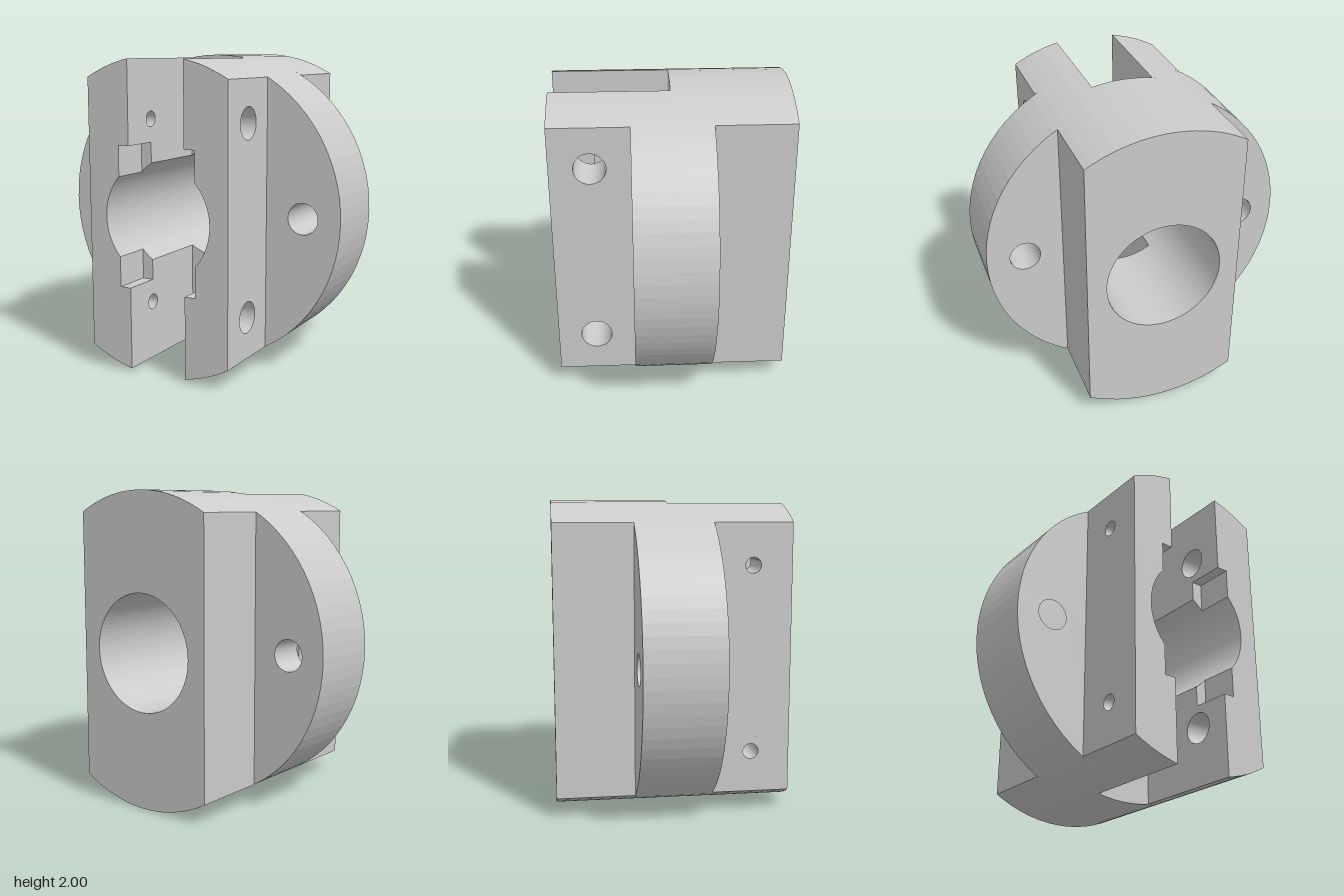
import * as THREE from 'three';

const STEP = Math.PI / 40; // facet angle shared by every arc
const R = 1, BORE = 0.375, HALF = 0.5, SLOT = 0.2, POCKET = 0.275, POCKET_Y = 0.45;

// Points on a circle from angle a to b, keeping the common facet grid between the ends
function arc(r, a, b, cx = 0, cy = 0) {
  const angles = [a];
  if (b > a) for (let i = Math.floor(a / STEP + 1e-6) + 1; i * STEP < b - 1e-6; i++) angles.push(i * STEP);
  else for (let i = Math.ceil(a / STEP - 1e-6) - 1; i * STEP > b + 1e-6; i--) angles.push(i * STEP);
  angles.push(b);
  return angles.map(t => [cx + r * Math.cos(t), cy + r * Math.sin(t)]);
}

const circle = (r, cx = 0, cy = 0) => arc(r, 0, Math.PI * 2, cx, cy).slice(0, -1);
const vectors = (pts, side = 1) => pts.map(([x, y]) => new THREE.Vector2(x * side, y));

function extrude(outline, holes, from, to, side = 1) {
  const shape = new THREE.Shape(vectors(outline, side));
  for (const h of holes) shape.holes.push(new THREE.Path(vectors(h, side)));
  return new THREE.ExtrudeGeometry(shape, { depth: to - from, bevelEnabled: false }).translate(0, 0, from);
}

export function createModel() {
  const group = new THREE.Group();
  group.name = 'clampingFlange';
  const material = new THREE.MeshStandardMaterial({ color: 0xcccccc });
  const body = new THREE.Group();
  body.name = 'body';
  body.position.y = 1;
  group.add(body);

  const add = (name, geometry) => {
    const mesh = new THREE.Mesh(geometry, material);
    mesh.name = name;
    body.add(mesh);
  };

  const hubAngle = Math.acos(HALF / R);
  const slotAngle = Math.acos(SLOT / R);
  const flat = R * Math.sin(hubAngle); // height where the side flats meet the round

  // Rear hub: round block with two side flats and the bore
  const hub = [
    ...arc(R, hubAngle, Math.PI - hubAngle),
    ...arc(R, Math.PI + hubAngle, 2 * Math.PI - hubAngle),
  ];
  add('rearHub', extrude(hub, [circle(BORE)], -0.75, -0.25));

  // Rear half of the round flange with bore and two mounting holes
  add('flangeRear', extrude(circle(R),
    [circle(BORE), circle(0.1, 0.75), circle(0.1, -0.75)], -0.25, 0));

  // Inner edge of a jaw, running upward and following the bore
  const boreEdge = x => {
    const a = Math.acos(x / BORE);
    return arc(BORE, -a, a);
  };

  for (const side of [1, -1]) {
    const label = side > 0 ? 'left' : 'right';

    // Front half of the flange, split by the slot
    add(label + 'FlangeFront', extrude(
      [...arc(R, -slotAngle, slotAngle), ...boreEdge(SLOT).reverse()],
      [circle(0.1, 0.75)], 0, 0.25, side));

    // Middle of the jaw: plain behind, relieved by a pocket in front
    const middle = x => [[HALF, -POCKET_Y], [HALF, POCKET_Y], [x, POCKET_Y],
      ...boreEdge(x).reverse(), [x, -POCKET_Y]];
    add(label + 'JawMiddle', extrude(middle(SLOT), [], 0.25, 0.5, side));
    add(label + 'JawPocket', extrude(middle(POCKET), [], 0.5, 0.75, side));

    // Jaw ends: clearance screw holes on one side, narrow ones on the other
    const screw = side > 0 ? 0.1 : 0.05;
    for (const end of [1, -1]) {
      const y0 = POCKET_Y * end, y1 = flat * end;
      const plate = extrude(
        [[-0.75, y0], [-0.25, y0], [-0.25, y1], [-0.75, y1]],
        [circle(screw, -0.5, 0.6 * end)], SLOT, HALF);
      plate.rotateY(Math.PI / 2);
      if (side < 0) plate.translate(-SLOT - HALF, 0, 0);
      add(label + 'JawScrewPlate', plate);

      // Rounded tip above the flat
      const tip = [...arc(R, hubAngle, slotAngle), [SLOT, flat]].map(([x, y]) => [x, y * end]);
      add(label + 'JawTip', extrude(tip, [], 0.25, 0.75, side));
    }
  }
  return group;
}
